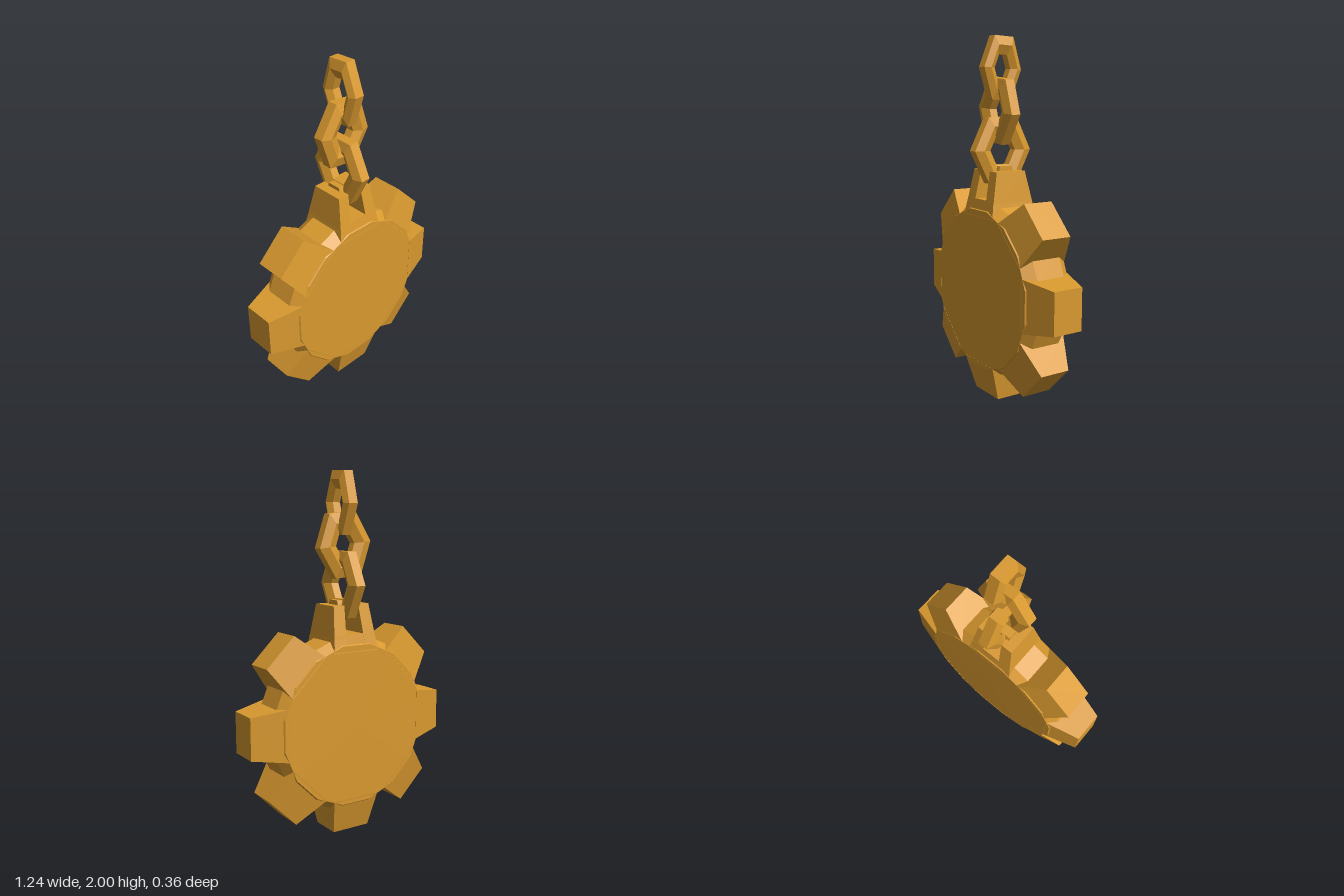
import * as THREE from 'three';

const gold = new THREE.MeshStandardMaterial({ color: 0xd9992f, flatShading: true });
gold.name = 'gold';

function part(name, geometry, parent) {
  const g = geometry.index ? geometry.toNonIndexed() : geometry;
  g.computeVertexNormals();
  const mesh = new THREE.Mesh(g, gold);
  mesh.name = name;
  parent.add(mesh);
  return mesh;
}

// Tapered block: each end is [y, xMin, xMax, zBack, zFront]
function block(low, high) {
  const g = new THREE.BoxGeometry(1, 1, 1);
  const p = g.attributes.position;
  for (let i = 0; i < p.count; i++) {
    const [y, x0, x1, z0, z1] = p.getY(i) > 0 ? high : low;
    p.setXYZ(i, p.getX(i) > 0 ? x1 : x0, y, p.getZ(i) > 0 ? z1 : z0);
  }
  return g;
}

// Faceted ring with a six-sided section, lying in the xy plane
function ring(halfWidth, halfHeight, band, halfDepth, sides) {
  const mid = halfWidth - band / 2, inner = halfWidth - band;
  const section = [
    [halfWidth, -halfDepth * 0.6], [halfWidth, halfDepth * 0.6], [mid, halfDepth],
    [inner, halfDepth * 0.5], [inner, -halfDepth * 0.5], [mid, -halfDepth],
    [halfWidth, -halfDepth * 0.6],
  ].map(([x, y]) => new THREE.Vector2(x, y));
  const g = new THREE.LatheGeometry(section, sides, Math.PI / 2);
  g.rotateX(Math.PI / 2);
  const apothem = halfWidth * Math.cos(Math.PI / sides);
  g.scale(1, halfHeight / apothem, 1);
  return g;
}

export function createModel() {
  const model = new THREE.Group();
  model.name = 'gearPendant';

  const gear = new THREE.Group();
  gear.name = 'gear';
  gear.position.y = 0.62;
  model.add(gear);

  // Sixteen-sided disc with bevelled rims
  const profile = [
    [0, -0.14], [0.455, -0.138], [0.495, -0.085], [0.495, 0.085], [0.455, 0.147], [0, 0.149],
  ].map(([x, y]) => new THREE.Vector2(x, y));
  const disc = new THREE.LatheGeometry(profile, 16, Math.PI / 16);
  disc.rotateX(Math.PI / 2);
  part('disc', disc, gear);

  // Seven tapered teeth, leaving the top free for the hanger
  for (let i = 1; i < 8; i++) {
    const tooth = part('tooth', block(
      [0.42, -0.145, 0.145, -0.139, 0.148],
      [0.62, -0.115, 0.115, -0.084, 0.092]), gear);
    tooth.rotation.z = -i * Math.PI / 4;
  }

  // Hanger: stump, two prongs and a crossbar
  const hanger = new THREE.Group();
  hanger.name = 'hanger';
  model.add(hanger);
  part('hangerBase', block(
    [1.03, -0.145, 0.145, -0.139, 0.148],
    [1.125, -0.13, 0.13, -0.12, 0.13]), hanger);
  part('leftProng', block(
    [1.06, 0.06, 0.138, -0.134, 0.142],
    [1.28, 0.045, 0.113, -0.085, 0.098]), hanger);
  part('rightProng', block(
    [1.06, -0.138, -0.06, -0.134, 0.142],
    [1.285, -0.113, -0.045, -0.085, 0.098]), hanger);
  part('crossbar', block(
    [1.235, -0.06, 0.06, -0.06, 0.065],
    [1.305, -0.06, 0.06, -0.035, 0.04]), hanger);

  // Three chain links, alternately turned a quarter
  const chain = new THREE.Group();
  chain.name = 'chain';
  model.add(chain);

  const lower = part('lowerLink', ring(0.18, 0.18, 0.1, 0.046, 6), chain);
  lower.position.set(0, 1.39, 0);
  lower.rotation.y = Math.PI / 2;

  const middle = part('middleLink', ring(0.165, 0.175, 0.105, 0.046, 6), chain);
  middle.position.set(-0.005, 1.605, 0.005);
  middle.rotation.z = -0.12;

  const upper = part('upperLink', ring(0.118, 0.17, 0.068, 0.046, 6), chain);
  upper.position.set(0.005, 1.83, 0.005);
  upper.rotation.set(0, Math.PI / 2, -0.05);

  return model;
}
